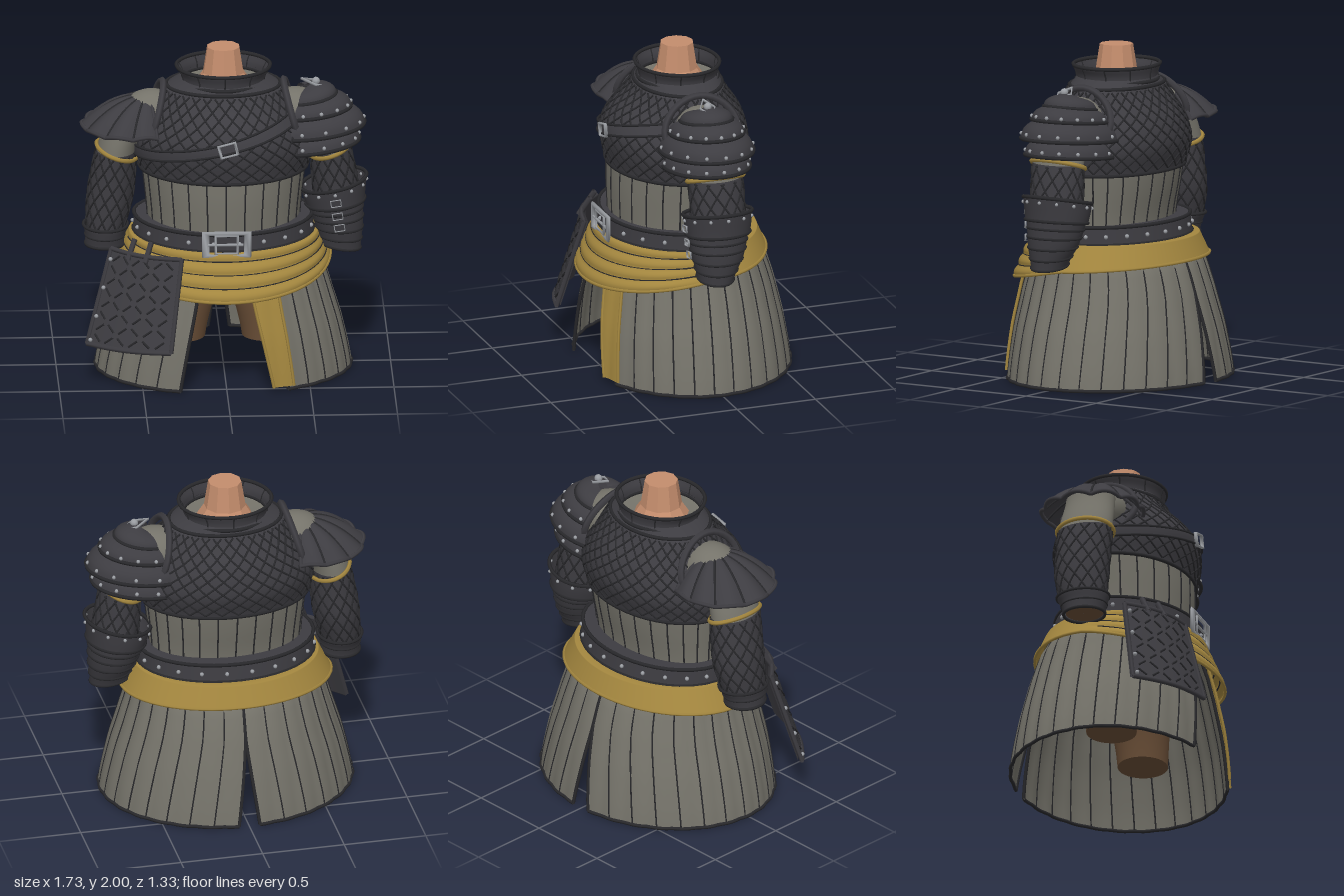
import * as THREE from 'three';
import { mergeGeometries, mergeVertices } from 'three/addons/utils/BufferGeometryUtils.js';

const V = (x, y, z) => new THREE.Vector3(x, y, z);
const { lerp } = THREE.MathUtils, PI = Math.PI;
const mat = (name, color, extra = {}) => new THREE.MeshStandardMaterial({ name, color, side: THREE.DoubleSide, ...extra });

// Smooth body surface from rows [y, halfWidth, front, back, centreX, centreZ, tilt], highest row last
function body(rows) {
  return (t, y, off = 0) => {
    let i = 0;
    while (i < rows.length - 2 && y > rows[i + 1][0]) i++;
    const f = (y - rows[i][0]) / (rows[i + 1][0] - rows[i][0]);
    const get = k => {
      const [a, b, c, d] = [-1, 0, 1, 2].map(j => rows[Math.min(rows.length - 1, Math.max(0, i + j))][k] || 0);
      return b + 0.5 * f * (c - a + f * (2 * a - 5 * b + 4 * c - d + f * (3 * (b - c) + d - a)));
    };
    const s = Math.sin(t), c = Math.cos(t);
    return V(get(4) + (get(1) + off) * s, y + get(6) * s, get(5) + (get(c > 0 ? 2 : 3) + off) * c);
  };
}

// Grid surface from f(u, v) with u, v in 0..1
function sheet(f, nu = 48, nv = 10) {
  const p = [], idx = [], w = nu + 1;
  for (let j = 0; j <= nv; j++) for (let i = 0; i <= nu; i++) p.push(...f(i / nu, j / nv).toArray());
  for (let j = 0; j < nv; j++) for (let i = 0; i < nu; i++) {
    const a = j * w + i;
    idx.push(a, a + 1, a + w + 1, a, a + w + 1, a + w);
  }
  const g = new THREE.BufferGeometry();
  g.setAttribute('position', new THREE.Float32BufferAttribute(p, 3));
  g.setIndex(idx);
  const m = mergeVertices(g, 1e-5);
  m.computeVertexNormals();
  return m;
}
const round = (P, y0, y1, nv = 8, off = 0) => sheet((u, v) => P(u * 2 * PI, lerp(y0, y1, v), off), 56, nv);

// Thin cord along f(s), s in 0..1
function cord(f, n, r, closed = false) {
  const pts = Array.from({ length: closed ? n : n + 1 }, (_, i) => f(i / n));
  return new THREE.TubeGeometry(new THREE.CatmullRomCurve3(pts, closed), n, r, 5, closed);
}
const hoop = (P, y, r, off = 0) => cord(s => P(s * 2 * PI, y, off), 40, r, true);
const seams = (P, n, y0, y1, r) => Array.from({ length: n }, (_, k) => cord(s => P(k * 2 * PI / n, lerp(y0, y1, s), 0.001), 8, r));
function lattice(P, n, y0, y1, twist, r) {
  const out = [];
  for (let k = 0; k < n; k++) for (const d of [-1, 1])
    out.push(cord(s => P(k * 2 * PI / n + d * twist * s, lerp(y0, y1, s), 0.002), 16, r));
  return out;
}
const stud = (p, r = 0.013) => new THREE.SphereGeometry(r, 8, 6).translate(p.x, p.y, p.z);
// Square ring used for buckles
const frame = (w, h, r) => new THREE.TorusGeometry(Math.SQRT1_2, r / 0.1, 6, 4).rotateZ(PI / 4).scale(w, h, 0.1);

export function createModel() {
  const model = new THREE.Group();
  const dark = mat('dark leather', 0x3d3c41), trim = mat('black trim', 0x29292c), grey = mat('grey cloth', 0x75736a);
  const gold = mat('ochre cloth', 0xa4873f), steel = mat('steel', 0x9a9da2), brown = mat('brown cloth', 0x6c5038);
  const skin = mat('skin', 0xc48d6d, { flatShading: true });
  const add = (name, geo, m) => {
    const mesh = new THREE.Mesh(Array.isArray(geo) ? mergeGeometries(geo) : geo, m);
    mesh.name = name;
    model.add(mesh);
    return mesh;
  };

  // Neck and collar
  add('neck', new THREE.LatheGeometry([[0.19, 1.74], [0.125, 1.84], [0.1, 2], [0, 2]].map(a => new THREE.Vector2(...a)), 10).translate(0, 0, 0.01), skin);
  const collar = body([[1.77, 0.25, 0.24, 0.23], [1.83, 0.255, 0.245, 0.23], [1.88, 0.28, 0.26, 0.24]]);
  add('collar', round(collar, 1.77, 1.88), dark);
  add('collarTrim', [hoop(collar, 1.88, 0.012), hoop(collar, 1.79, 0.012, 0.005), ...seams(collar, 10, 1.79, 1.88, 0.005)], trim);
  add('collarLining', sheet((u, v) => collar(u * 2 * PI, 1.78, -0.12 * v).setY(1.78 - 0.01 * v), 40, 2), grey);

  // Chest armour with diamond quilting
  const chest = body([[1.26, 0.505, 0.43, 0.35], [1.4, 0.53, 0.455, 0.39], [1.5, 0.5, 0.455, 0.385], [1.6, 0.44, 0.4, 0.35],
    [1.7, 0.385, 0.305, 0.285], [1.76, 0.35, 0.265, 0.25], [1.81, 0.25, 0.24, 0.23]]);
  add('chestArmour', round(chest, 1.26, 1.81, 20), dark);
  add('chestQuilting', lattice(chest, 32, 1.28, 1.75, 1.15, 0.006), trim);
  add('chestTrim', [hoop(chest, 1.265, 0.012), hoop(chest, 1.765, 0.012)], trim);

  // Chest strap and buckle
  const strap = (u, v) => {
    const t = lerp(-1.6, 1, u);
    return chest(t, 1.5 + 0.115 * Math.sin(t) + (v - 0.5) * 0.06, 0.018);
  };
  add('chestStrap', sheet(strap, 30, 3), dark);
  add('chestStrapTrim', [0, 1].map(v => cord(s => strap(s, v), 30, 0.008)), trim);
  add('chestBuckle', frame(0.1, 0.075, 0.012).rotateZ(0.25).translate(0.01, 1.5, 0.485), steel);

  // Waist
  const waist = body([[0.9, 0.455, 0.42, 0.28], [1.0, 0.46, 0.425, 0.29], [1.15, 0.475, 0.43, 0.32], [1.3, 0.49, 0.425, 0.34]]);
  add('waist', round(waist, 0.9, 1.3), grey);
  add('waistSeams', seams(waist, 26, 0.92, 1.28, 0.005), trim);

  // Belt with studs and buckle
  const belt = body([[0.84, 0.54, 0.475, 0.4], [0.97, 0.535, 0.47, 0.38]]);
  add('belt', [round(belt, 0.84, 0.965, 2), sheet((u, v) => belt(u * 2 * PI, 0.96, -0.12 * v), 56, 2)], dark);
  add('beltTrim', [hoop(belt, 0.96, 0.012), hoop(belt, 0.855, 0.01)], trim);
  add('beltStuds', Array.from({ length: 22 }, (_, k) => stud(belt((k + 0.5) * 2 * PI / 22, 0.905, 0.004))), steel);
  add('beltBuckle', [frame(0.25, 0.14, 0.013).translate(0, 0.91, 0.495), frame(0.13, 0.11, 0.008).translate(0, 0.91, 0.5),
    cord(s => V(lerp(-0.12, 0.1, s), 0.91, 0.5), 4, 0.009)], steel);

  // Draped sash, dipping towards the front
  const sash = (u, v) => {
    const t = (u - 0.5) * 2 * PI, s = Math.sin(t), c = Math.cos(t), front = Math.max(0, c), k = Math.min(1, v / 0.08);
    const fold = 0.014 * Math.abs(Math.sin(v * 4 * PI)) * Math.min(1, front * 2);
    const rx = lerp(lerp(0.52, 0.555, k), 0.64, v), rz = c > 0 ? lerp(lerp(0.45, 0.48, k), 0.61, v) : lerp(lerp(0.37, 0.45, k), 0.505, v);
    const low = 0.7 - 0.12 * front + 0.03 * Math.max(0, -c);
    return V((rx + fold) * s, lerp(0.855, low, Math.max(0, v - 0.08) / 0.92), (rz + fold) * c);
  };
  add('sash', sheet(sash, 72, 25), gold);
  add('sashFolds', [0.25, 0.5, 0.75].map(v => cord(s => sash(lerp(0.27, 0.73, s), v), 36, 0.005)), trim);
  add('sashHem', cord(s => sash(s, 1), 60, 0.01, true), gold);

  // Skirt in two panels, open in front with a slit behind
  const skirtBody = body([[0, 0.76, 0.6, 0.65], [0.3, 0.7, 0.575, 0.605], [0.55, 0.625, 0.53, 0.545], [0.72, 0.575, 0.49, 0.485], [0.84, 0.53, 0.45, 0.4]]);
  const skirt = (t, y, off = 0) => skirtBody(t, y, off + 0.008 * Math.abs(Math.sin(15 * t)));
  const slit = y => 0.085 * Math.max(0, 1 - y / 0.54);
  const edges = [[y => 0.5 - 0.04 * y, y => PI - slit(y)], [y => PI + slit(y), y => 2 * PI - 0.375 + 0.16 * y]];
  edges.forEach(([a, b], i) => {
    const f = (u, v) => { const y = 0.008 + 0.83 * v; return skirt(lerp(a(y), b(y), u), y); };
    const side = i ? 'right' : 'left';
    add(side + 'SkirtPanel', sheet(f, 84, 14), grey);
    add(side + 'SkirtTrim', [cord(s => f(0, s), 12, 0.011), cord(s => f(1, s), 12, 0.011), cord(s => f(s, 0), 60, 0.011),
      ...Array.from({ length: 12 }, (_, k) => cord(s => f((k + 1) / 13, s), 10, 0.005))], trim);
  });
  const band = (u, v) => { const y = lerp(0.03, 0.72, v); return skirt(lerp(0.375 - 0.22 * y, 0.54 - 0.05 * y, u), y, 0.016); };
  add('hangingSashEnd', sheet(band, 6, 12), gold);
  add('hangingSashEdges', [0, 1].map(u => cord(s => band(u, s), 12, 0.01)), gold);

  // Hips and legs
  add('hips', new THREE.SphereGeometry(1, 24, 16).scale(0.42, 0.2, 0.34).translate(0, 0.76, 0.02), brown);
  for (const s of [-1, 1]) {
    const leg = body([[0.19, 0.155, 0.15, 0.15, s * 0.265, 0.03], [0.5, 0.18, 0.18, 0.18, s * 0.22, 0.03], [0.8, 0.2, 0.2, 0.2, s * 0.18, 0.02]]);
    add(s > 0 ? 'leftLeg' : 'rightLeg', [round(leg, 0.19, 0.8), sheet((u, v) => leg(u * 2 * PI, 0.19, -0.155 * v), 56, 1)], brown);
  }

  // Arms
  for (const s of [-1, 1]) {
    const side = s > 0 ? 'left' : 'right';
    const arm = body([[0.74, 0.105, 0.11, 0.1, s * 0.71, 0.025], [0.88, 0.115, 0.14, 0.14, s * 0.705, 0.015], [1.05, 0.135, 0.16, 0.165, s * 0.68, 0],
      [1.2, 0.132, 0.165, 0.165, s * 0.66, 0], [1.38, 0.117, 0.168, 0.165, s * 0.635, 0.005], [1.6, 0.12, 0.15, 0.15, s * 0.56, 0.01]]);
    add(side + 'Shoulder', new THREE.SphereGeometry(1, 24, 16).scale(0.19, 0.16, 0.17).translate(s * 0.43, 1.57, 0.01), grey);
    add(side + 'UpperSleeve', round(arm, 1.36, 1.6), grey);
    add(side + 'Sleeve', round(arm, 0.78, 1.36, 12), dark);
    add(side + 'SleeveQuilting', lattice(arm, 12, s > 0 ? 1.08 : 0.88, 1.35, s > 0 ? 1.1 : 2, 0.006), trim);
    add(side + 'ArmBand', cord(q => { const t = q * 2 * PI; return arm(t, 1.35 + s * 0.04 * Math.sin(t), 0.008); }, 32, 0.014, true), gold);
    const yEnd = s > 0 ? 0.745 : 0.78;
    add(side + 'Wrist', sheet((u, v) => arm(u * 2 * PI, yEnd, -0.105 * v), 40, 1), brown);
    // Armhole rim
    add(side + 'ArmholeRim', cord(q => {
      const a = q * 2 * PI, k = Math.sin(a);
      return V(s * (0.41 - 0.05 * k), 1.6 + 0.175 * k, 0.01 + (0.23 - 0.03 * k) * Math.cos(a));
    }, 32, 0.022, true), dark);
  }

  // Right cuff
  const cuff = body([[0.77, 0.115, 0.13, 0.12, -0.71, 0.02], [0.84, 0.12, 0.145, 0.14, -0.708, 0.02], [0.89, 0.132, 0.16, 0.16, -0.705, 0.015]]);
  add('rightCuff', round(cuff, 0.77, 0.89), dark);
  add('rightCuffTrim', [hoop(cuff, 0.89, 0.01), hoop(cuff, 0.775, 0.01), hoop(cuff, 0.83, 0.006)], trim);

  // Left forearm guard, flared bands with studs
  const guard = body([[0.74, 0.12, 0.11, 0.105, 0.7, 0.025, -0.02], [0.88, 0.145, 0.155, 0.16, 0.69, 0.01, 0], [1.02, 0.165, 0.18, 0.185, 0.67, 0, 0.02],
    [1.14, 0.185, 0.195, 0.2, 0.66, 0, 0.04]]);
  add('forearmGuard', [round(guard, 0.74, 1.02), round(guard, 1.01, 1.14, 4, 0.012)], dark);
  add('forearmGuardTrim', [0.745, 0.8, 0.86, 0.92, 0.97].map(y => hoop(guard, y, 0.008)).concat(hoop(guard, 1.015, 0.01, 0.012), hoop(guard, 1.14, 0.012, 0.012)), trim);
  add('forearmGuardStuds', Array.from({ length: 12 }, (_, k) => stud(guard(k * PI / 6, 1.11, 0.014), 0.011)), steel);
  add('forearmBuckles', [0.9, 0.975, 1.06].map(y => { const p = guard(0, y, 0.022); return frame(0.06, 0.04, 0.007).rotateZ(0.15).translate(p.x, p.y, p.z); }), steel);

  // Right fan-shaped shoulder guard
  const fan = (u, v) => {
    const a = lerp(-1.75, 1.75, u), c = Math.cos(a), lobe = Math.abs(Math.sin(u * 7 * PI));
    const r = v * (0.275 + 0.1 * Math.max(0, c) + 0.018 * lobe);
    return V(-0.455 - r * c, 1.7 - 0.19 * v ** 2.1 + 0.018 * lobe * v, 0.015 + r * Math.sin(a));
  };
  add('fanShoulderGuard', sheet(fan, 84, 12), dark);
  add('fanRim', [cord(s => fan(s, 1), 84, 0.013), cord(s => fan(0, s), 8, 0.012), cord(s => fan(1, s), 8, 0.012)], dark);
  add('fanRibs', Array.from({ length: 6 }, (_, k) => cord(s => fan((k + 1) / 7, lerp(0.1, 1, s)), 10, 0.008)), trim);

  // Left layered shoulder guard: [reach, depth, topY, bottomY]
  [[0.315, 0.255, 1.52, 1.4], [0.345, 0.275, 1.63, 1.5], [0.265, 0.22, 1.7, 1.61], [0.175, 0.155, 1.755, 1.685]].forEach(([rx, rz, top, low], i) => {
    const plate = (u, v) => {
      const a = lerp(-1.9, 1.9, u), c = Math.cos(a), k = Math.sin((0.12 + 0.88 * v) * PI / 2);
      return V(0.5 + rx * k * c, lerp(top, low, v * v) + 0.025 * (c - 0.4), 0.01 + rz * k * Math.sin(a));
    };
    add('shoulderPlate' + (i + 1), sheet(plate, 40, 8), dark);
    add('shoulderPlateRim' + (i + 1), cord(s => plate(s, 1), 36, 0.012), trim);
    if (i < 3) add('shoulderStuds' + (i + 1), Array.from({ length: 9 }, (_, k) => stud(plate((k + 0.5) / 9, 0.88), 0.012)), steel);
  });
  add('shoulderEmblem', [new THREE.TorusGeometry(0.085, 0.009, 6, 4).scale(1, 0.55, 1).rotateX(-PI / 2), stud(V(0, 0.01, 0), 0.025)], steel)
    .position.set(0.55, 1.765, 0.02);
  model.getObjectByName('shoulderEmblem').rotation.z = -0.3;

  // Hip plate hanging from the belt
  const tl = V(-0.68, 0.82, 0.27), tr = V(-0.27, 0.82, 0.5), bl = V(-0.83, 0.26, 0.38), br = V(-0.34, 0.28, 0.65);
  const hip = (u, v, off = 0) => {
    const bulge = 0.05 * Math.sin(u * PI) + off;
    return tl.clone().lerp(tr, u).lerp(bl.clone().lerp(br, u), v).add(V(-0.45 * bulge, 0, 0.85 * bulge));
  };
  add('hipPlate', [sheet((u, v) => hip(u, v), 14, 10), sheet((u, v) => hip(u, v, -0.025), 14, 10)], dark);
  add('hipPlateRim', [cord(s => hip(s, 0), 12, 0.015), cord(s => hip(s, 1), 12, 0.015), cord(s => hip(0, s), 12, 0.015), cord(s => hip(1, s), 12, 0.015)], dark);
  const ticks = [];
  for (let i = 0; i < 6; i++) for (let j = 0; j < 8; j++) {
    const u = 0.12 + i * 0.15, v = 0.08 + j * 0.12, d = (i + j) % 2 ? 0.035 : -0.035;
    ticks.push(cord(s => hip(u + (s - 0.5) * 0.09, v + (s - 0.5) * d * 2, 0.002), 3, 0.007));
  }
  add('hipPlateStitches', ticks, trim);
  add('hipPlateStuds', [0.1, 0.4, 0.7, 0.95].map(v => stud(hip(0.04, v, 0.012))), steel);
  add('hipPlateStraps', [0.3, 0.55].map(u => cord(s => hip(u, 0.06 - 0.2 * s, 0.01 - 0.04 * s), 5, 0.018)), dark);
  return model;
}
